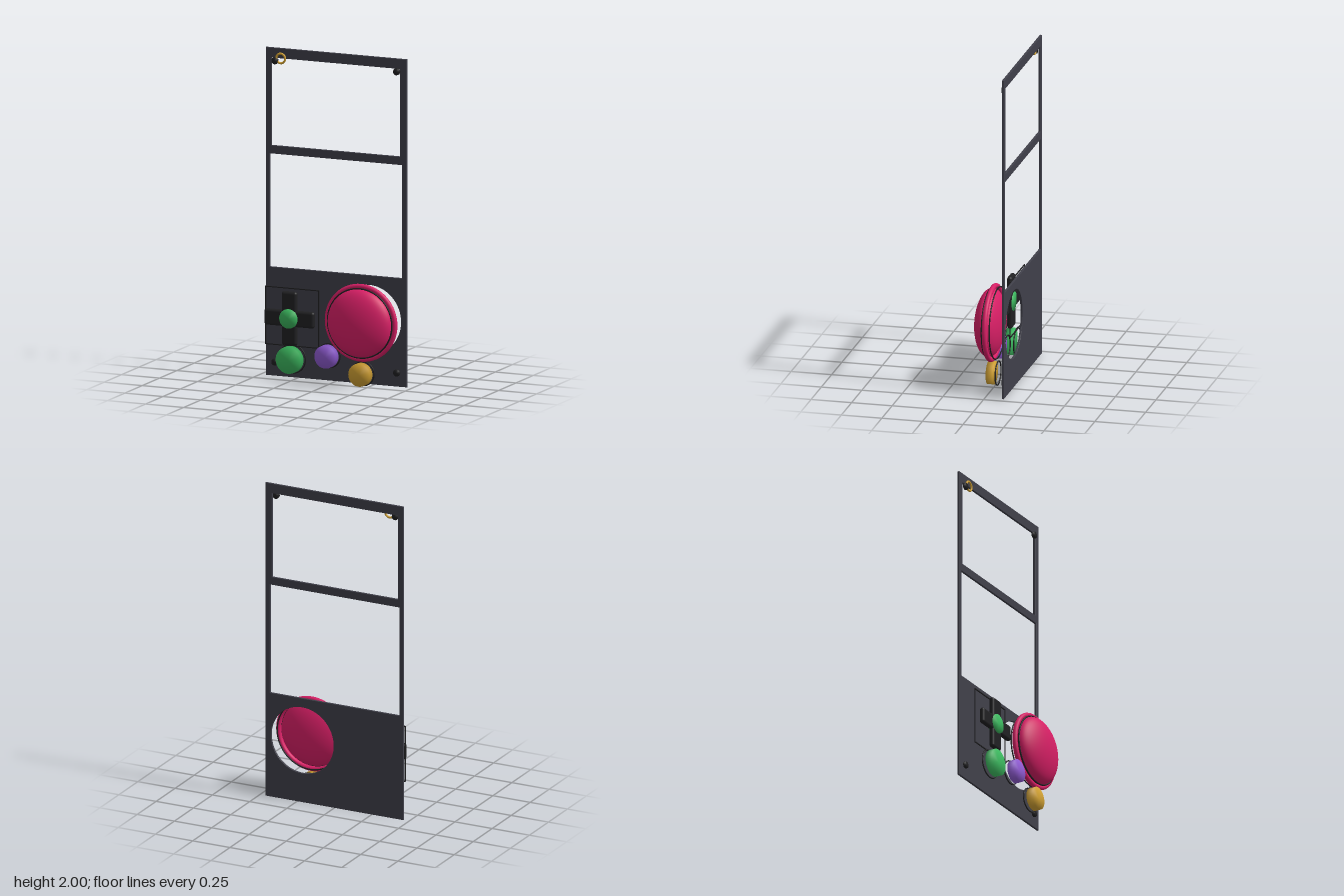
import * as THREE from 'three';
import { mergeVertices } from 'three/addons/utils/BufferGeometryUtils.js';
import { RoundedBoxGeometry } from 'three/addons/geometries/RoundedBoxGeometry.js';

const mat = (name, color) => {
  const m = new THREE.MeshStandardMaterial({ color });
  m.name = name;
  return m;
};

export function createModel() {
  const slate = mat('slate', 0x40404a);
  const black = mat('black', 0x202022);
  const pink = mat('pink', 0xd81f66);
  const green = mat('green', 0x3cb85f);
  const purple = mat('purple', 0x8f5bd2);
  const gold = mat('gold', 0xd0a033);

  const group = new THREE.Group();
  const add = (name, geometry, material, x, y, z) => {
    const mesh = new THREE.Mesh(geometry, material);
    mesh.name = name;
    mesh.position.set(x, y, z);
    group.add(mesh);
    return mesh;
  };
  const ring = (name, material, x, y, z, radius, tube) =>
    add(name, new THREE.TorusGeometry(radius, tube, 12, 64), material, x, y, z);

  // disc facing +z; shared rim normals give it a soft, pillowy shading
  const disc = (radius, depth) => {
    const g = new THREE.CylinderGeometry(radius, radius, depth, 40).rotateX(Math.PI / 2);
    g.deleteAttribute('uv');
    g.deleteAttribute('normal');
    const merged = mergeVertices(g, 1e-5);
    merged.computeVertexNormals();
    return merged;
  };

  // back panel with two windows and a round opening
  const rect = (C, x0, y0, x1, y1) => {
    const p = new C();
    p.moveTo(x0, y0);
    p.lineTo(x1, y0);
    p.lineTo(x1, y1);
    p.lineTo(x0, y1);
    p.closePath();
    return p;
  };
  const b = 0.003;
  const panel = rect(THREE.Shape, -0.463 + b, b, 0.463 - b, 2 - b);
  panel.holes.push(
    rect(THREE.Path, -0.426 - b, 1.404 - b, 0.418 + b, 1.938 + b),
    rect(THREE.Path, -0.437 - b, 0.663 - b, 0.431 + b, 1.353 + b),
    new THREE.Path().absarc(0.215, 0.395, 0.21 + b, 0, Math.PI * 2, true)
  );
  add('backPanel', new THREE.ExtrudeGeometry(panel, {
    depth: 0.008, bevelThickness: b, bevelSize: b, bevelSegments: 2, curveSegments: 32,
  }), slate, 0, 0, -0.114);

  // corner screws and hanging ring
  for (const x of [-0.4, 0.4])
    for (const y of [0.085, 1.922]) add('screw', disc(0.021, 0.014), black, x, y, -0.097);
  ring('hangingRing', gold, -0.362, 1.939, -0.097, 0.029, 0.0065);

  // large dome with its collar and trim rings
  const dx = 0.2155, dy = 0.395;
  add('dome', new THREE.SphereGeometry(1, 48, 32).rotateX(Math.PI / 2).scale(0.208, 0.208, 0.086),
    pink, dx, dy, 0.029);
  ring('domeCollar', pink, dx, dy, 0.011, 0.222, 0.0155);
  ring('domeTrim', black, dx, dy, 0.031, 0.211, 0.005);
  ring('domeBackRing', black, dx, dy, -0.018, 0.218, 0.004);

  // round buttons, each with a thin outline ring behind
  const buttons = [
    ['greenButton', green, -0.25, 0.132, 0.082, 0.087],
    ['purpleButton', purple, -0.008, 0.172, 0.07, 0.0725],
    ['goldButton', gold, 0.215, 0.08, 0.07, 0.0725],
  ];
  for (const [name, material, x, y, r, outline] of buttons) {
    add(name, disc(r, 0.042), material, x, y, 0.021);
    ring(name + 'Outline', black, x, y, -0.018, outline, 0.004);
  }

  // direction pad: two crossed bars, centre button and square outline
  const px = -0.25, py = 0.385;
  add('padBarAcross', new RoundedBoxGeometry(0.328, 0.1, 0.033, 5, 0.0164), black, px, py, 0.0185);
  add('padBarUpright', new RoundedBoxGeometry(0.1, 0.328, 0.033, 5, 0.0164), black, px, py, 0.0185);
  add('padCentre', disc(0.059, 0.042), green, px, py, 0.021);
  for (const s of [-1, 1]) {
    add('padOutlineSide', new THREE.BoxGeometry(0.006, 0.356, 0.006), black, px + s * 0.175, py, -0.018);
    add('padOutlineEdge', new THREE.BoxGeometry(0.356, 0.006, 0.006), black, px, py + s * 0.175, -0.018);
  }
  return group;
}
